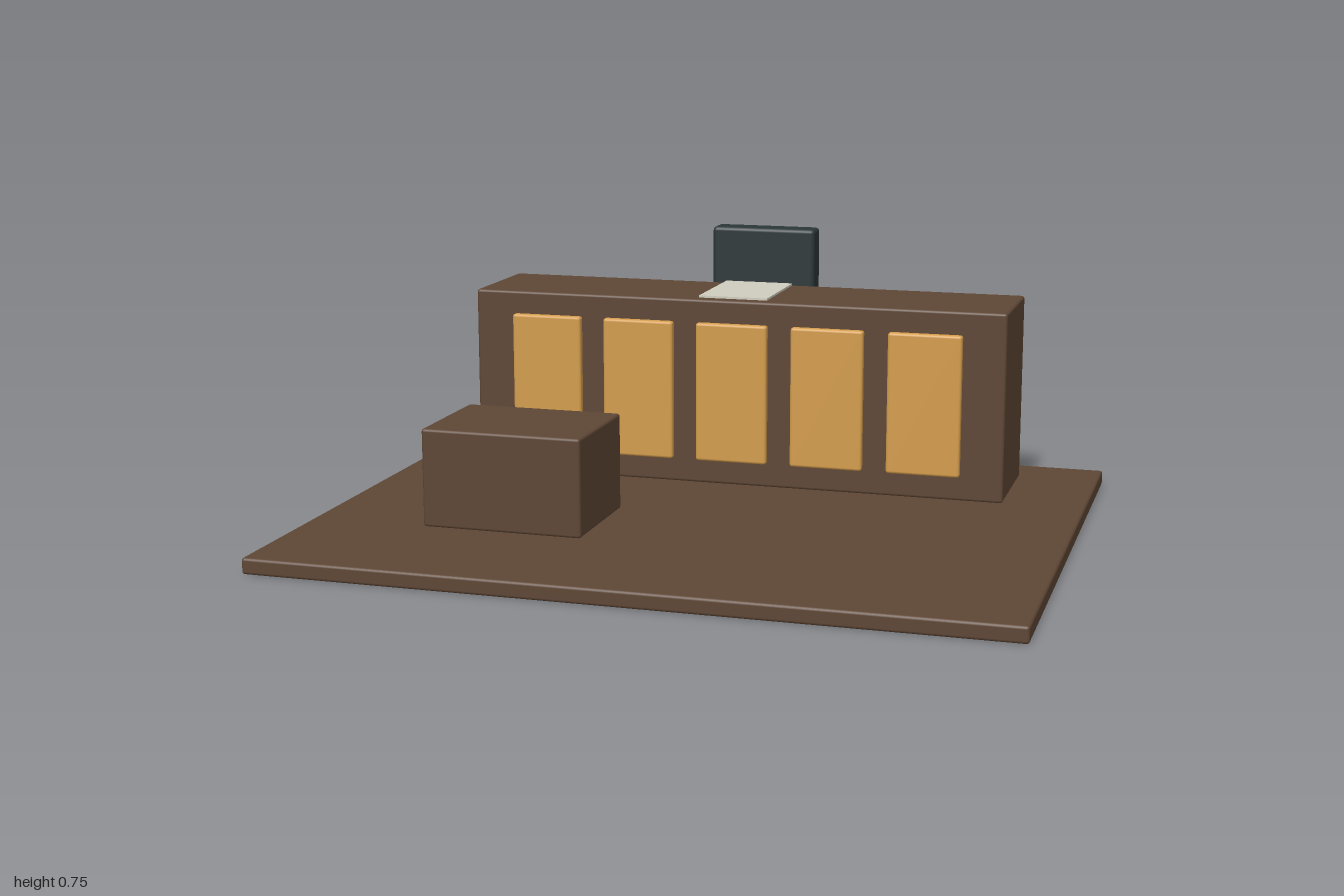
import * as THREE from 'three';
import { RoundedBoxGeometry } from 'three/addons/geometries/RoundedBoxGeometry.js';

const material = (name, color) => {
  const m = new THREE.MeshStandardMaterial({ color });
  m.name = name;
  return m;
};

export function createModel() {
  const wood = material('dark wood', 0x5e4635);
  const amber = material('amber', 0xd39c4c);
  const slate = material('dark slate', 0x2b3637);
  const paper = material('paper', 0xcfcdbe);

  const group = new THREE.Group();
  group.name = 'receptionDesk';

  // Softly bevelled box given by its minimum and maximum corners
  const block = (name, mat, [x0, y0, z0], [x1, y1, z1], bevel) => {
    const geometry = new RoundedBoxGeometry(x1 - x0, y1 - y0, z1 - z0, 2, bevel);
    const mesh = new THREE.Mesh(geometry, mat);
    mesh.name = name;
    mesh.position.set((x0 + x1) / 2, (y0 + y1) / 2, (z0 + z1) / 2);
    group.add(mesh);
  };

  // Floor slab, counter and low side block
  block('floor', wood, [-1, 0, -0.778], [1, 0.044, 0.778], 0.008);
  block('counter', wood, [-0.777, 0.05, -0.612], [0.777, 0.584, -0.28], 0.008);
  block('sideBlock', wood, [-0.668, 0.05, 0.057], [-0.224, 0.317, 0.39], 0.008);

  // Five front panels
  for (let i = -2; i <= 2; i++) {
    const x = i * 0.277;
    block('frontPanel', amber, [x - 0.104, 0.12, -0.281], [x + 0.104, 0.52, -0.255], 0.008);
  }

  // Upright screen behind the counter
  block('screen', slate, [-0.155, 0.375, -0.686], [0.155, 0.75, -0.61], 0.012);

  // Thin sheet lying on the counter top
  const sheet = new THREE.Mesh(new THREE.BoxGeometry(0.2, 0.006, 0.29), paper);
  sheet.name = 'sheet';
  sheet.position.set(0, 0.593, -0.424);
  group.add(sheet);

  return group;
}
